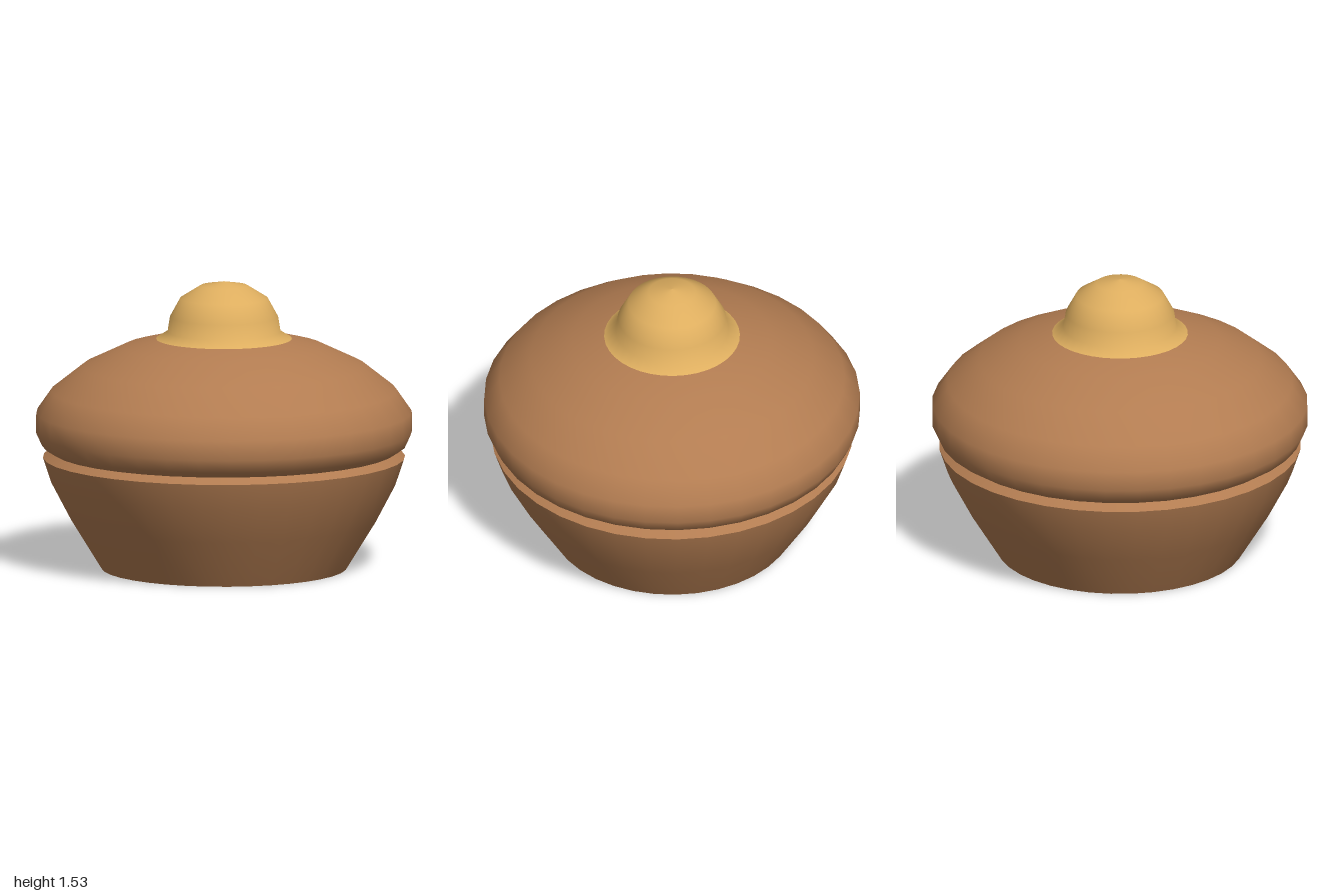
import * as THREE from 'three';

const SEGMENTS = 36;

export function createModel() {
  const model = new THREE.Group();
  model.name = 'liddedPot';

  const clay = new THREE.MeshStandardMaterial({ name: 'brown clay', color: 0xb27c51 });
  const gold = new THREE.MeshStandardMaterial({ name: 'golden knob', color: 0xdeae5f });

  // Turned part from [radius, height] pairs; separate parts keep the edges between them sharp
  function turned(name, material, profile) {
    const points = profile.map(([r, y]) => new THREE.Vector2(r, y));
    const mesh = new THREE.Mesh(new THREE.LatheGeometry(points, SEGMENTS), material);
    mesh.name = name;
    model.add(mesh);
  }

  // Domed hollow under the foot
  const hollow = [];
  for (let i = 0; i <= 8; i++) {
    const a = (i / 8) * Math.PI / 2;
    hollow.push([0.58 * Math.sin(a), 0.36 * Math.cos(a)]);
  }
  hollow[8][1] = 0;
  turned('footHollow', clay, hollow);
  turned('footRing', clay, [[0.58, 0], [0.65, 0]]);

  // Flared bowl and its bevelled rim
  turned('bowl', clay, [[0.65, 0], [0.81, 0.26], [0.915, 0.46], [0.96, 0.595]]);
  turned('bowlRim', clay, [[0.96, 0.595], [0.915, 0.628]]);

  // Rounded lid
  turned('lid', clay, [
    [0.915, 0.628], [0.965, 0.66], [0.997, 0.73], [0.995, 0.835], [0.915, 0.95],
    [0.75, 1.08], [0.53, 1.185], [0.36, 1.228],
  ]);

  // Knob with flared base
  turned('knob', gold, [
    [0.36, 1.228], [0.3, 1.265], [0.287, 1.345], [0.232, 1.445], [0.125, 1.512], [0, 1.535],
  ]);

  return model;
}
